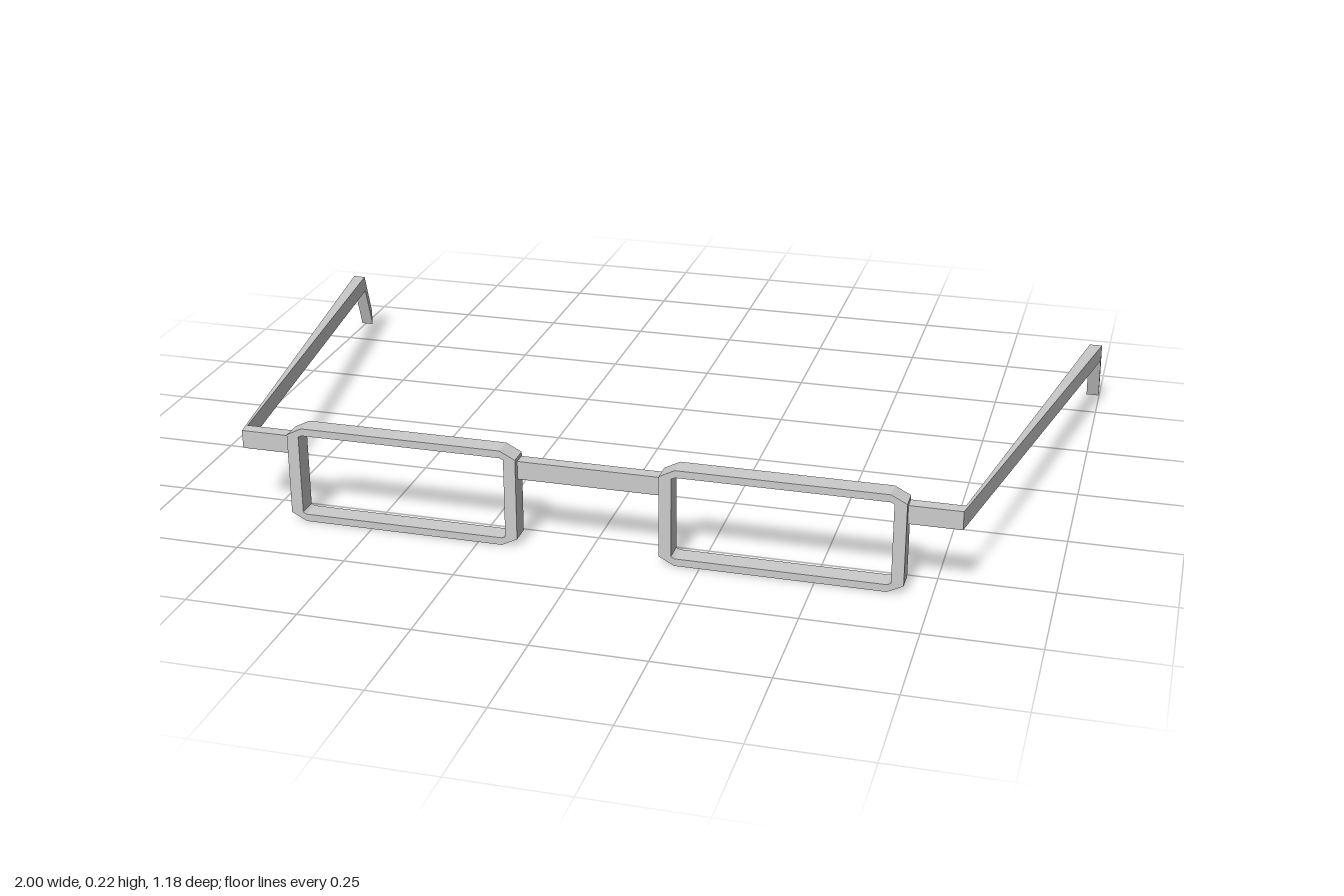
import * as THREE from 'three';

const material = new THREE.MeshStandardMaterial({ color: 0xcccccc, flatShading: true });

// Add a rectangle with clipped corners to a shape or path
function clippedRect(path, w, h, cx, cy) {
  const a = w / 2, b = h / 2;
  const pts = [
    [-a + cx, -b], [a - cx, -b], [a, -b + cy], [a, b - cy],
    [a - cx, b], [-a + cx, b], [-a, b - cy], [-a, -b + cy],
  ];
  path.setFromPoints(pts.map(([x, y]) => new THREE.Vector2(x, y)));
  return path;
}

// Skin a chain of four-cornered sections; side = -1 mirrors it across x
function loft(sections, side) {
  const pos = [];
  const tri = (...pts) => {
    const order = side > 0 ? pts : [pts[0], pts[2], pts[1]];
    for (const [x, y, z] of order) pos.push(x * side, y, z);
  };
  const quad = (a, b, c, d) => { tri(a, b, c); tri(a, c, d); };
  for (let i = 0; i < sections.length - 1; i++) {
    const s = sections[i], t = sections[i + 1];
    for (let j = 0; j < 4; j++) {
      const k = (j + 1) % 4;
      quad(s[j], t[j], t[k], s[k]);
    }
  }
  const [a, b, c, d] = sections[0];
  quad(a, b, c, d);
  const [e, f, g, h] = sections[sections.length - 1];
  quad(e, h, g, f);
  const geo = new THREE.BufferGeometry();
  geo.setAttribute('position', new THREE.Float32BufferAttribute(pos, 3));
  geo.computeVertexNormals();
  return geo;
}

// Section corners: outer top, inner top, inner bottom, outer bottom
const section = (xOut, xIn, top, bottom, zOut, zIn) => [
  [xOut, top, zOut], [xIn, top, zIn], [xIn, bottom, zIn], [xOut, bottom, zOut],
];

export function createModel() {
  const group = new THREE.Group();
  const add = (geo, name) => {
    const mesh = new THREE.Mesh(geo, material);
    mesh.name = name;
    group.add(mesh);
    return mesh;
  };

  // Bridge between the rims
  add(new THREE.BoxGeometry(0.33, 0.042, 0.03), 'bridge').position.set(0, 0.177, 0.558);

  for (const [side, label] of [[1, 'left'], [-1, 'right']]) {
    // Lens rim: clipped outline with a nearly square opening
    const outline = clippedRect(new THREE.Shape(), 0.53, 0.225, 0.035, 0.018);
    outline.holes.push(clippedRect(new THREE.Path(), 0.476, 0.191, 0.008, 0.004));
    const rim = new THREE.ExtrudeGeometry(outline, { depth: 0.047, bevelEnabled: false });
    add(rim, label + 'Rim').position.set(side * 0.425, 0.1125, 0.541);

    // End piece, temple arm and hooked ear tip in one continuous strip
    add(loft([
      section(0.688, 0.688, 0.198, 0.156, 0.573, 0.543),
      section(0.805, 0.805, 0.198, 0.156, 0.573, 0.543),
      section(1, 0.97, 0.16, 0.12, -0.55, -0.55),
      section(1, 0.97, 0.05, 0.01, -0.588, -0.588),
    ], side), label + 'Temple');
  }
  return group;
}
